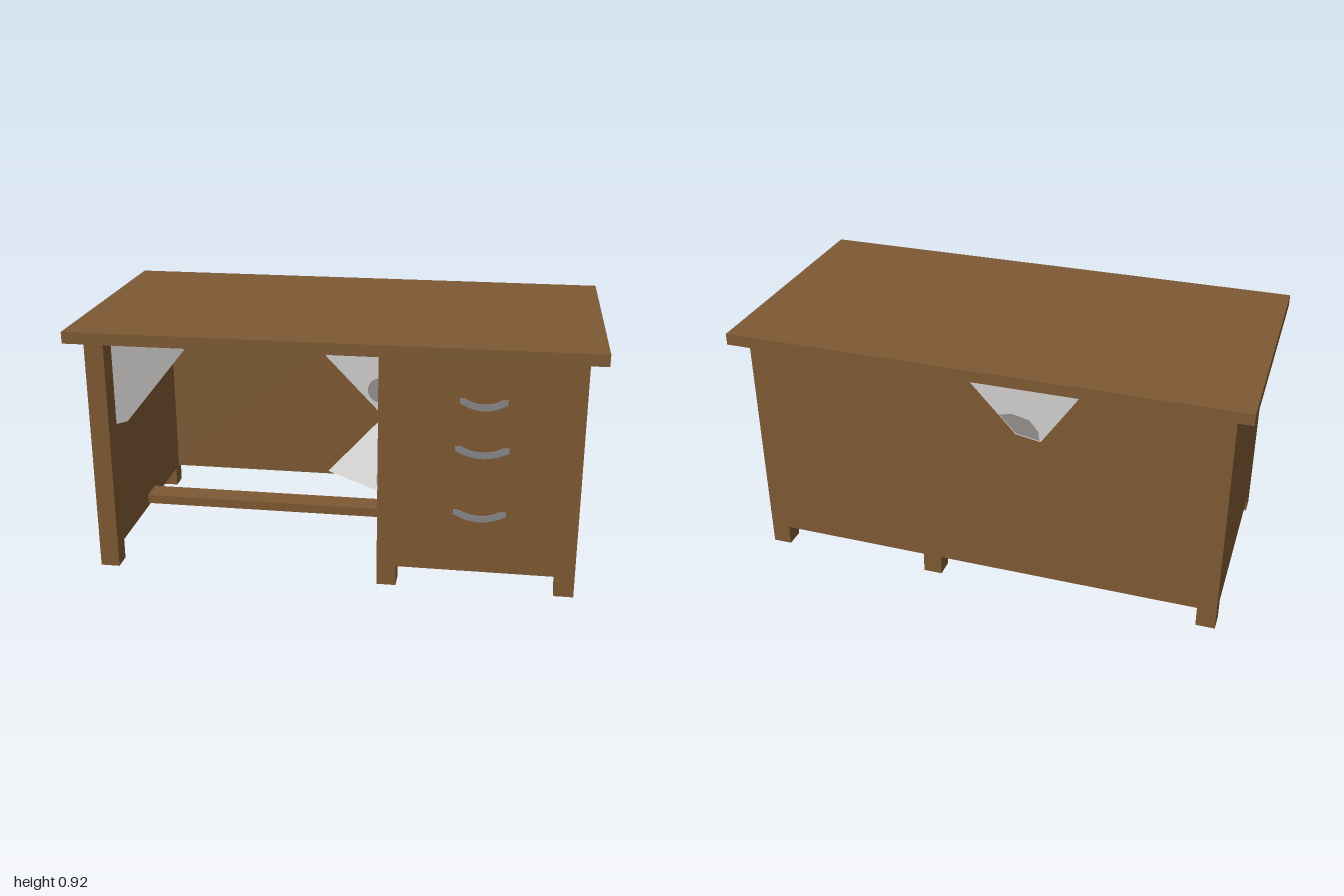
import * as THREE from 'three';

const mat = (name, color, side = THREE.FrontSide) => {
  const m = new THREE.MeshStandardMaterial({ color, side });
  m.name = name;
  return m;
};

export function createModel() {
  const wood = mat('brown wood', 0x7f5a34);
  const metal = mat('grey handle', 0x88888a);
  const silk = mat('pale web', 0xd2d0ce, THREE.DoubleSide);
  const dust = mat('dusty grey', 0x94908c, THREE.DoubleSide);

  const model = new THREE.Group();
  const desk = new THREE.Group();
  desk.name = 'desk';
  desk.rotation.y = 0.1696; // the whole desk stands slightly turned
  model.add(desk);

  // Box given by its limits on each axis
  const box = (name, x0, x1, y0, y1, z0, z1) => {
    const m = new THREE.Mesh(new THREE.BoxGeometry(x1 - x0, y1 - y0, z1 - z0), wood);
    m.position.set((x0 + x1) / 2, (y0 + y1) / 2, (z0 + z1) / 2);
    m.name = name;
    desk.add(m);
  };

  const X = 0.875, Z = 0.422, S = 0.07;      // body half sizes, post size
  const UNDER = 0.88, FLOOR = 0.077, PED = 0.168; // heights, inner face of drawers

  // Carcass
  box('tabletop', -0.933, 0.933, UNDER, 0.922, -0.474, 0.474);
  box('sidePanel', -X, -X + S, FLOOR, UNDER, -Z, Z);
  box('drawerPedestal', PED, X, FLOOR, UNDER, -Z, Z);
  box('backPanel', -X + S, PED, FLOOR, UNDER, -Z, -Z + 0.03);

  // Six square feet
  for (const x of [-X, PED, X - S])
    for (const z of [-Z, Z - S]) box('foot', x, x + S, 0, FLOOR, z, z + S);

  // Footrest: a channel open below
  box('footrestTop', -X + S, PED, 0.11, 0.125, -0.05, 0.045);
  for (const z of [-0.05, 0.033]) box('footrestLip', -X + S, PED, 0.09, 0.11, z, z + 0.012);

  // Curved drawer pulls: thin sagging plates with wider ends
  for (const [y, w] of [[0.71, 0.082], [0.535, 0.093], [0.295, 0.093]]) {
    const s = new THREE.Shape();
    s.moveTo(-w, 0.022);
    s.lineTo(-w * 0.75, 0.02);
    s.quadraticCurveTo(-w * 0.4, 0.002, 0, 0.002);
    s.quadraticCurveTo(w * 0.4, 0.002, w * 0.75, 0.02);
    s.lineTo(w, 0.022);
    s.lineTo(w, 0.004);
    s.lineTo(w * 0.7, -0.008);
    s.quadraticCurveTo(0, -0.034, -w * 0.7, -0.008);
    s.lineTo(-w, 0.004);
    const pull = new THREE.Mesh(new THREE.ExtrudeGeometry(s, { depth: 0.005, bevelEnabled: false }), metal);
    pull.position.set(0.53, y, Z);
    pull.name = 'drawerPull';
    desk.add(pull);
  }

  // Flat web in the plane of an origin and two further points,
  // with a dusty patch laid on both of its sides
  const V = (p) => new THREE.Vector3(...p);
  const web = (name, o, pa, pb, outline, patch) => {
    const a = V(pa).sub(V(o)).normalize();
    const n = a.clone().cross(V(pb).sub(V(o))).normalize();
    const g = new THREE.Group();
    g.name = name;
    g.quaternion.setFromRotationMatrix(new THREE.Matrix4().makeBasis(a, n.clone().cross(a), n));
    g.position.set(...o);
    const sheet = (pts, m, z) => {
      const shape = new THREE.Shape(pts.map((p) => new THREE.Vector2(...p)));
      const mesh = new THREE.Mesh(new THREE.ShapeGeometry(shape), m);
      mesh.position.z = z;
      mesh.name = m === silk ? 'webSheet' : 'webPatch';
      g.add(mesh);
    };
    sheet(outline, silk, 0);
    for (const z of [-0.002, 0.002]) sheet(patch, dust, z);
    desk.add(g);
  };
  const halfDisc = (cx, cy, r, from) => Array.from({ length: 13 }, (_, i) => {
    const t = from + (Math.PI * i) / 12;
    return [cx + r * Math.cos(t), cy + r * Math.sin(t)];
  });

  // Web hanging across the side panel corner
  web('sideWeb', [-0.805, 0, 0.342], [-0.508, 0, 0.157], [-0.805, 1, 0.342],
    [[0, 0.88], [0.35, 0.88], [0.042, 0.545], [0, 0.54]],
    halfDisc(0.25, 0.88, 0.07, Math.PI));

  // Web between tabletop and pedestal
  web('pedestalWeb', [0, 0, 0.347], [1, 0, 0.347], [0, 1, 0.347],
    [[-0.066, 0.88], [PED, 0.88], [PED, 0.635]],
    halfDisc(PED, 0.72, 0.045, Math.PI / 2));

  // Web low in the back corner, from back panel to pedestal
  web('cornerWeb', [PED, 0.165, 0], [PED, 0.43, -0.39], [-0.14, 0.09, -0.39],
    [[0, 0], [0.4715, 0], [0.28, 0.417]],
    halfDisc(0.12, 0, 0.092, 0));

  // Web clinging to the outside of the back panel
  web('backWeb', [0, 0, -0.426], [1, 0, -0.426], [0, 1, -0.426],
    [[0.06, 0.88], [-0.37, 0.88], [-0.22, 0.66], [-0.13, 0.675]],
    [[-0.07, 0.745], [-0.12, 0.755], [-0.18, 0.74], [-0.212, 0.7], [-0.216, 0.666], [-0.132, 0.68]]);

  return model;
}
